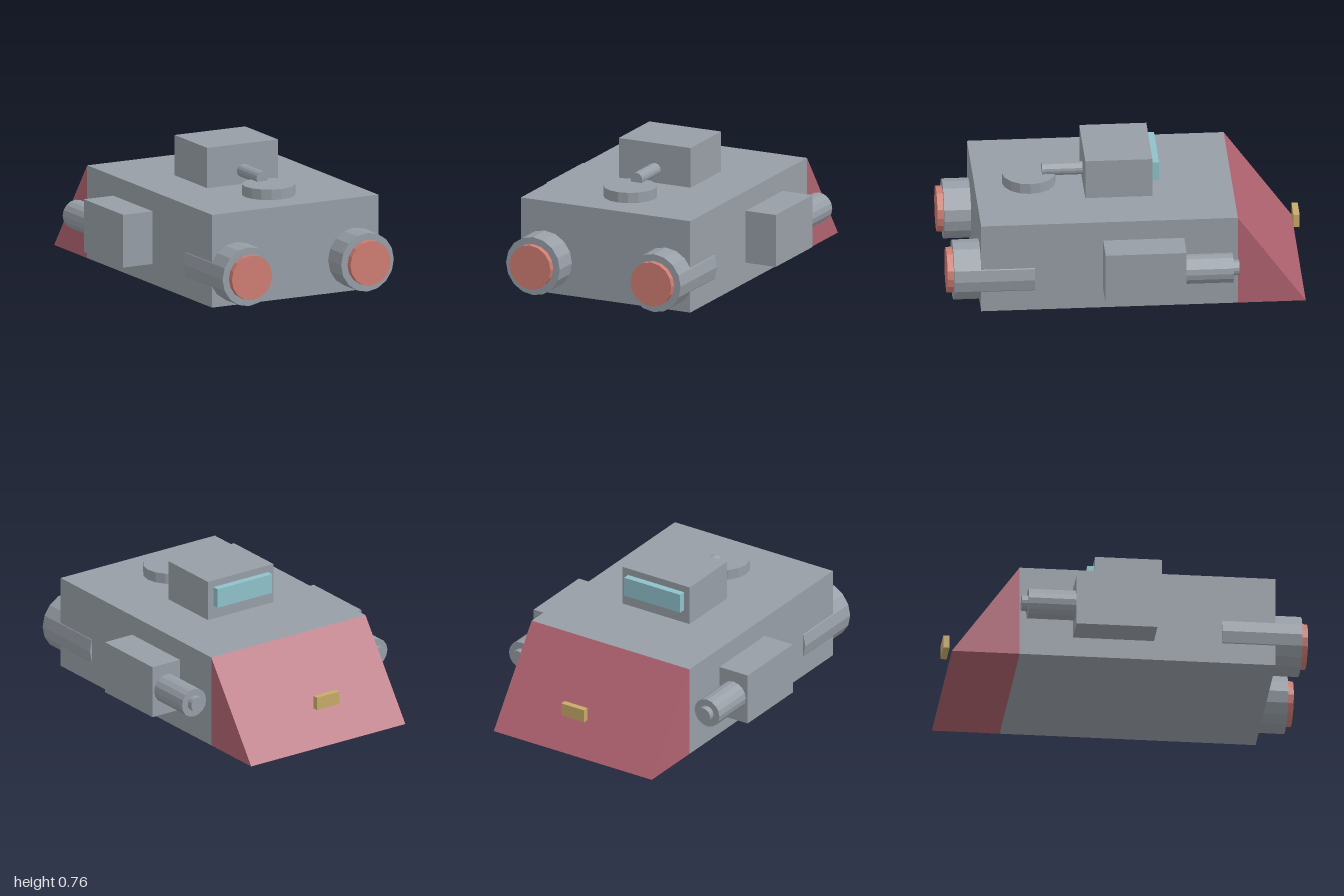
import * as THREE from 'three';

const mat = (name, color) => {
  const m = new THREE.MeshStandardMaterial({ color, flatShading: true });
  m.name = name;
  return m;
};

export function createModel() {
  const grey = mat('hull grey', 0x979ea6);
  const red = mat('nose red', 0xb06270);
  const coral = mat('engine coral', 0xcf7c72);
  const cyan = mat('window cyan', 0x8fc1ca);
  const gold = mat('lamp gold', 0xc6aa68);

  const root = new THREE.Group();
  root.name = 'vehicle';

  const add = (name, geometry, material) => {
    const mesh = new THREE.Mesh(geometry, material);
    mesh.name = name;
    root.add(mesh);
    return mesh;
  };
  // Box given by its limits on each axis
  const box = (name, material, [x0, x1], [y0, y1], [z0, z1]) =>
    add(name, new THREE.BoxGeometry(x1 - x0, y1 - y0, z1 - z0), material)
      .position.set((x0 + x1) / 2, (y0 + y1) / 2, (z0 + z1) / 2);
  // Cylinder lying along z from z0 to z1
  const rod = (name, material, r, x, y, z0, z1) =>
    add(name, new THREE.CylinderGeometry(r, r, z1 - z0, 16).rotateX(Math.PI / 2), material)
      .position.set(x, y, (z0 + z1) / 2);

  // Hull
  box('hull', grey, [-0.53, 0.53], [0, 0.53], [-0.62, 0.815]);

  // Sloped wedge: side profile drawn as (-z, y), extruded across the width
  const profile = new THREE.Shape([
    new THREE.Vector2(0.62, 0), new THREE.Vector2(1, 0), new THREE.Vector2(0.62, 0.53),
  ]);
  const wedge = new THREE.ExtrudeGeometry(profile, { depth: 1.06, bevelEnabled: false });
  wedge.translate(0, 0, -0.53).rotateY(Math.PI / 2);
  add('slopedNose', wedge, red);
  box('noseLamp', gold, [-0.077, 0.077], [0.23, 0.305], [-1, -0.965]);

  // Cabin with window and rod
  box('cabin', grey, [-0.225, 0.225], [0.53, 0.76], [-0.165, 0.21]);
  box('cabinWindow', cyan, [-0.188, 0.188], [0.608, 0.72], [-0.205, -0.165]);
  rod('cabinBarrel', grey, 0.037, 0, 0.608, 0.2, 0.437);

  // Roof hatch
  add('hatch', new THREE.CylinderGeometry(0.15, 0.15, 0.06, 16), grey).position.set(0, 0.56, 0.51);

  // Paired side pods, guns and engines
  for (const [side, s] of [['left', 1], ['right', -1]]) {
    box(side + 'Pod', grey, s > 0 ? [0.53, 0.718] : [-0.718, -0.53], [0.115, 0.416], [-0.32, 0.133]);
    rod(side + 'Gun', grey, 0.083, s * 0.623, 0.268, -0.585, -0.31);
    rod(side + 'GunTip', grey, 0.044, s * 0.623, 0.268, -0.62, -0.58);
    rod(side + 'Engine', grey, 0.168, s * 0.378, 0.19, 0.515, 0.965);
    rod(side + 'EngineGlow', coral, 0.128, s * 0.378, 0.19, 0.95, 1);
  }
  return root;
}
